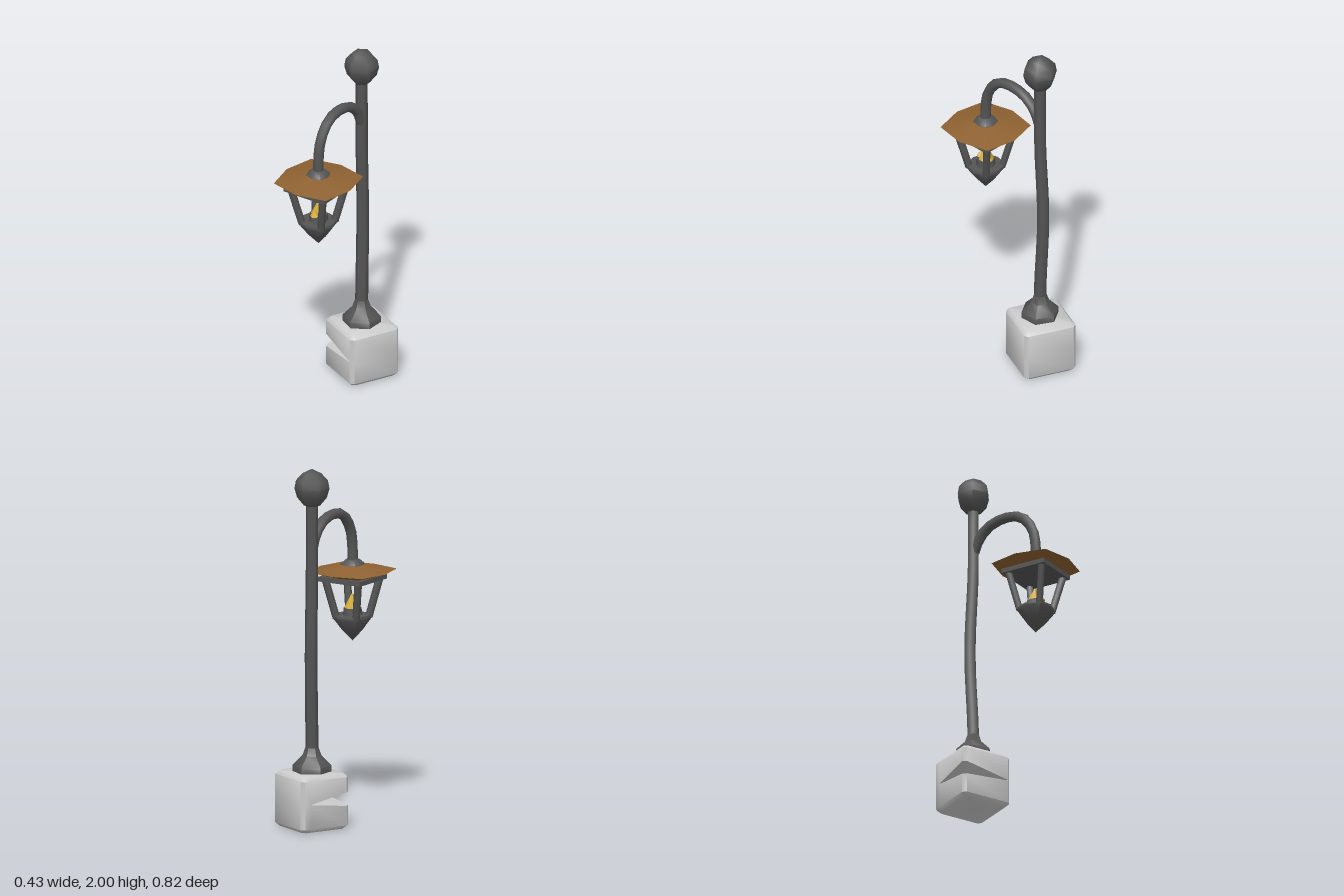
import * as THREE from 'three';
import { toCreasedNormals } from 'three/addons/utils/BufferGeometryUtils.js';

const POLE_Z = -0.21, LAMP_Z = 0.195;

export function createModel() {
  const model = new THREE.Group();
  const mat = (color) => new THREE.MeshStandardMaterial({ color });
  const stone = mat(0xcccccc), iron = mat(0x555555), copper = mat(0x8f6232), gold = mat(0xd4ac35);

  const add = (name, geometry, material, parent = model) => {
    const mesh = new THREE.Mesh(geometry, material);
    mesh.name = name;
    parent.add(mesh);
    return mesh;
  };
  const vec = (list) => list.map(([x, y]) => new THREE.Vector2(x, y));

  // Turned part; "square" pushes the diagonal corners of an octagon outwards
  const turned = (profile, sides, square = 1, crease = 0.9) => {
    const g = new THREE.LatheGeometry(vec(profile), sides);
    const p = g.attributes.position;
    for (let i = 0; i < p.count; i++) {
      const x = p.getX(i), z = p.getZ(i);
      if (Math.min(Math.abs(x), Math.abs(z)) > 0.001 && square !== 1) {
        p.setX(i, x * square);
        p.setZ(i, z * square);
      }
    }
    return toCreasedNormals(g, crease);
  };

  // Stone block with a wedge-shaped crack through one corner
  const block = add('stoneBlock', crackedBlock(), stone);
  block.position.z = -0.215;
  block.rotation.y = -0.44;

  // Foot collar, slightly bent pole and knob
  const foot = add('poleFoot', turned([[0, 0.3], [0.106, 0.3], [0.106, 0.345], [0.052, 0.4],
    [0.038, 0.44], [0.03, 0.46]], 6, 1, 0.9), iron);
  foot.position.z = POLE_Z;

  const poleGeo = new THREE.CylinderGeometry(0.033, 0.036, 1.48, 6, 12);
  poleGeo.translate(0, 1.09, 0);
  const pp = poleGeo.attributes.position;
  for (let i = 0; i < pp.count; i++) {
    const t = THREE.MathUtils.clamp((pp.getY(i) - 0.4) / 1.1, 0, 1);
    const bend = Math.sin(Math.PI * t) ** 2;
    pp.setZ(i, pp.getZ(i) - 0.018 * bend);
    pp.setX(i, pp.getX(i) - 0.006 * bend);
  }
  add('pole', toCreasedNormals(poleGeo, 1.1), iron).position.z = POLE_Z;

  const knob = add('knob', turned([[0, 1.785], [0.045, 1.795], [0.082, 1.84], [0.096, 1.89],
    [0.088, 1.935], [0.052, 1.975], [0, 2]], 6, 1, 1.1), iron);
  knob.position.z = POLE_Z;

  // Curved arm
  const path = new THREE.CatmullRomCurve3([[1.55, -0.205], [1.63, -0.168], [1.69, -0.095], [1.71, 0.02],
    [1.685, 0.105], [1.6, 0.172], [1.5, 0.194], [1.4, 0.195]].map(([y, z]) => new THREE.Vector3(0, y, z)));
  add('arm', new THREE.TubeGeometry(path, 12, 0.029, 8), iron);

  // Lantern
  const lantern = new THREE.Group();
  lantern.name = 'lantern';
  lantern.position.z = LAMP_Z;
  model.add(lantern);

  add('roofCap', turned([[0.066, 1.385], [0.063, 1.4], [0.036, 1.425], [0, 1.43]], 8, 1.08), iron, lantern);
  add('roof', turned([[0, 1.332], [0.12, 1.332], [0.214, 1.362], [0.13, 1.378], [0.065, 1.396], [0, 1.4]],
    8, 1.155), copper, lantern);
  add('topPlate', new THREE.BoxGeometry(0.272, 0.026, 0.272), iron, lantern).position.y = 1.321;

  // Four leaning corner posts
  const up = new THREE.Vector3(0, 1, 0);
  for (const sx of [-1, 1]) for (const sz of [-1, 1]) {
    const a = new THREE.Vector3(sx * 0.064, 1.1, sz * 0.064);
    const b = new THREE.Vector3(sx * 0.109, 1.325, sz * 0.109);
    const post = add('cornerPost', new THREE.CylinderGeometry(0.021, 0.021, a.distanceTo(b), 6), iron, lantern);
    post.position.lerpVectors(a, b, 0.5);
    post.quaternion.setFromUnitVectors(up, b.sub(a).normalize());
  }

  add('lowerCup', turned([[0, 0.97], [0.05, 1.028], [0.099, 1.1], [0.096, 1.116], [0, 1.116]], 8, 1.12),
    iron, lantern);
  add('burner', turned([[0.055, 1.11], [0.05, 1.155], [0, 1.155]], 8), iron, lantern);

  // Flame with a small side tongue
  for (const [r, h, z] of [[0.045, 0.085, -0.005], [0.026, 0.04, 0.034]]) {
    const flame = add('flame', new THREE.ConeGeometry(r, h, 6), gold, lantern);
    flame.position.set(0, 1.153 + h / 2, z);
  }
  return model;
}

// Bevelled block lofted from level rings; the rings at the crack pull one corner inwards
function crackedBlock() {
  const h = 0.152, c = 0.02;
  const outline = [[-h + c, h], [h - c, h], [h, h - c], [h, -h + c], [h - c, -h],
    [-h + c, -h], [-h, -h + c], [-h, -0.6 * h], [-h, h - c]];
  const n = outline.length;
  // [height, scale, height at the cracked corner, pulled in]
  const rings = [[0, 0], [0, 0.87], [0.02, 1], [0.152, 1, 0.13], [0.156, 1, 0.155, true],
    [0.16, 1, 0.205], [0.29, 1], [0.31, 0.87], [0.31, 0]];
  const pos = [], index = [];
  rings.forEach(([y, s, cornerY = y, pulled], k) => {
    outline.forEach(([u, v], i) => {
      const cracked = i === 0 || i === n - 1;
      if (cracked && pulled) {
        u = i === 0 ? 0.2 * h : -0.2 * h;
        v = h + (u - h) * 0.8;
      }
      pos.push(u * s, cracked ? cornerY : y, v * s);
      if (k < rings.length - 1) {
        const a = k * n + i, b = k * n + (i + 1) % n;
        index.push(a, b, a + n, b, b + n, a + n);
      }
    });
  });
  const g = new THREE.BufferGeometry();
  g.setAttribute('position', new THREE.Float32BufferAttribute(pos, 3));
  g.setIndex(index);
  return toCreasedNormals(g, 0.9);
}
